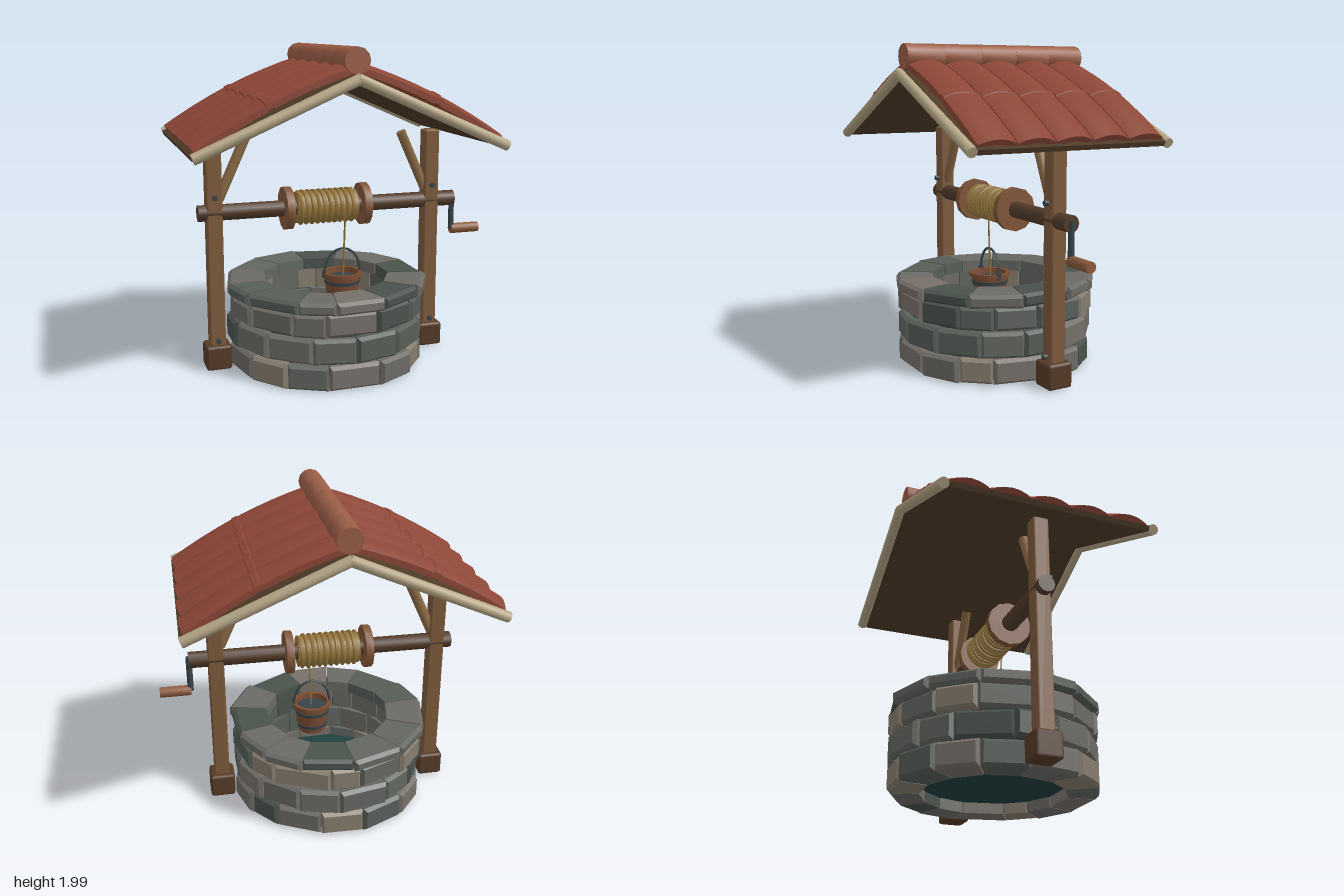
import * as THREE from 'three';
import { toCreasedNormals } from 'three/addons/utils/BufferGeometryUtils.js';
import { RoundedBoxGeometry } from 'three/addons/geometries/RoundedBoxGeometry.js';

const mat = (color, flatShading = false) => {
  const m = new THREE.MeshStandardMaterial({ color });
  m.flatShading = flatShading;
  return m;
};
const M = {
  post: mat(0x7d5a3c), base: mat(0x553a27), axle: mat(0x513a29), flange: mat(0x805538),
  brace: mat(0x8a6a45), trim: mat(0xb3a484), tile: mat(0x8c4637), ridge: mat(0x9a5d46),
  board: mat(0x4e3a27), rope: mat(0x92743a), metal: mat(0x36454a), bucket: mat(0x7c4c32),
  grip: mat(0x8a5a3c), water: mat(0x22403f), mortar: mat(0x3c3e3a),
};
M.bucket.side = THREE.DoubleSide;
const stoneMats = [0x6c6a65, 0x565e57, 0x857c6e, 0x4a524c, 0x77706a, 0x626660].map(c => mat(c, true));

let seed = 7;
const rand = () => (seed = (seed * 16807) % 2147483647) / 2147483647;
const V = (x, y, z) => new THREE.Vector3(x, y, z);

function add(parent, name, geo, material, x = 0, y = 0, z = 0) {
  const mesh = new THREE.Mesh(geo, material);
  mesh.name = name;
  mesh.position.set(x, y, z);
  parent.add(mesh);
  return mesh;
}

function group(parent, name) {
  const g = new THREE.Group();
  g.name = name;
  parent.add(g);
  return g;
}

// Straight round bar between two points
function bar(parent, name, a, b, r, material, sides = 10) {
  const geo = toCreasedNormals(new THREE.CylinderGeometry(r, r, a.distanceTo(b), sides), 0.9);
  const mesh = add(parent, name, geo, material);
  mesh.position.copy(a).add(b).multiplyScalar(0.5);
  mesh.quaternion.setFromUnitVectors(V(0, 1, 0), b.clone().sub(a).normalize());
  return mesh;
}

// Solid through equal-length loops, capped by pairing points from both loop ends
function loft(loops, crease) {
  const n = loops[0].length, idx = [];
  const quad = (a, b, c, d) => idx.push(a, b, c, a, c, d);
  for (let k = 0; k < loops.length - 1; k++)
    for (let j = 0; j < n; j++) {
      const j2 = (j + 1) % n;
      quad(k * n + j, k * n + j2, (k + 1) * n + j2, (k + 1) * n + j);
    }
  const e = (loops.length - 1) * n;
  for (let i = 0; i < n / 2 - 1; i++) {
    quad(n - 1 - i, n - 2 - i, i + 1, i);
    quad(e + i, e + i + 1, e + n - 2 - i, e + n - 1 - i);
  }
  const geo = new THREE.BufferGeometry().setFromPoints(loops.flat());
  geo.setIndex(idx);
  return toCreasedNormals(geo, crease);
}

// Wedge-shaped stone with a chamfered outer face
function stone(ri, ro, a0, a1, y0, y1, b) {
  const loop = (r, s) => {
    const t = s / r;
    return [[a0 + t, y0 + s], [a0 + t, y1 - s], [a1 - t, y1 - s], [a1 - t, y0 + s]]
      .map(([a, y]) => V(r * Math.cos(a), y, r * Math.sin(a)));
  };
  return loft([loop(ri, 0.004), loop(ro - b, 0.002), loop(ro, b)], 0.1);
}

function buildWall(root) {
  const wall = group(root, 'stoneWall');
  const courses = [
    { y0: 0.01, y1: 0.17, ri: 0.43, ro: 0.615, n: 14 },
    { y0: 0.17, y1: 0.335, ri: 0.43, ro: 0.62, n: 14 },
    { y0: 0.335, y1: 0.485, ri: 0.43, ro: 0.615, n: 14 },
    { y0: 0.475, y1: 0.56, ri: 0.4, ro: 0.635, n: 13 },
  ];
  courses.forEach(({ y0, y1, ri, ro, n }, row) => {
    const step = Math.PI * 2 / n;
    const cuts = Array.from({ length: n }, (_, i) => (i + row * 0.5 + (rand() - 0.5) * 0.35) * step);
    cuts.push(cuts[0] + Math.PI * 2);
    for (let i = 0; i < n; i++) {
      const geo = stone(ri, ro + (rand() - 0.5) * 0.025, cuts[i], cuts[i + 1], y0, y1 - rand() * 0.008, 0.02);
      add(wall, 'stone', geo, stoneMats[Math.floor(rand() * stoneMats.length)]);
    }
  });
  const ring = [[0.46, 0.03], [0.56, 0.03], [0.56, 0.5], [0.46, 0.5], [0.46, 0.03]];
  add(wall, 'mortar', new THREE.LatheGeometry(ring.map(p => new THREE.Vector2(...p)), 28), M.mortar);
  add(root, 'water', new THREE.CylinderGeometry(0.435, 0.435, 0.02, 28), M.water, 0, 0.09, 0);
}

function buildFrame(root) {
  for (const s of [-1, 1]) {
    const x = s * 0.708;
    const side = group(root, s < 0 ? 'rightSupport' : 'leftSupport');
    add(side, 'post', new RoundedBoxGeometry(0.098, 1.44, 0.098, 1, 0.012), M.post, x, 0.74, 0);
    add(side, 'postBase', new RoundedBoxGeometry(0.16, 0.155, 0.16, 1, 0.018), M.base, x, 0.0925, 0);
    bar(side, 'brace', V(s * 0.675, 1.08, 0), V(s * 0.505, 1.45, 0), 0.032, M.brace, 8);
    for (const y of [0.2, 1.1]) bar(side, 'bolt', V(x, y, 0.03), V(x, y, 0.075), 0.016, M.metal, 8);
  }
}

function buildWinch(root) {
  const winch = group(root, 'winch');
  winch.position.y = 1;
  bar(winch, 'axle', V(-0.805, 0, 0), V(0.875, 0, 0), 0.051, M.axle, 12);
  for (const x of [-0.25, 0.25]) bar(winch, 'spoolFlange', V(x - 0.024, 0, 0), V(x + 0.024, 0, 0), 0.136, M.flange, 12);
  // Wound rope: a core with a helix over it
  bar(winch, 'ropeCore', V(-0.195, 0, 0), V(0.195, 0, 0), 0.099, M.rope, 16);
  const turns = 10, pts = [];
  for (let i = 0; i <= turns * 12; i++) {
    const a = i / 12 * Math.PI * 2;
    pts.push(V(-0.185 + 0.37 * i / (turns * 12), 0.1 * Math.cos(a), 0.1 * Math.sin(a)));
  }
  add(winch, 'ropeCoil', new THREE.TubeGeometry(new THREE.CatmullRomCurve3(pts), turns * 24, 0.012, 6), M.rope);
  // Crank
  bar(winch, 'crankArm', V(0.873, 0.02, 0), V(0.873, -0.21, 0), 0.019, M.metal, 8);
  bar(winch, 'crankGrip', V(0.87, -0.21, 0), V(1.065, -0.21, 0), 0.033, M.grip, 10);
}

function buildBucket(root) {
  const bucket = group(root, 'bucket');
  bucket.position.set(0.087, 0, 0.08);
  // Tapered, hollow body with a lip
  const profile = [[0, 0.385], [0.09, 0.385], [0.115, 0.56], [0.128, 0.562], [0.128, 0.585],
    [0.105, 0.585], [0.1, 0.53]].map(p => new THREE.Vector2(...p));
  add(bucket, 'bucketBody', toCreasedNormals(new THREE.LatheGeometry(profile, 14), 0.6), M.bucket);
  add(bucket, 'bucketFill', new THREE.CylinderGeometry(0.102, 0.1, 0.01, 14), M.metal, 0, 0.545, 0);
  for (const [y, r] of [[0.43, 0.1], [0.525, 0.113]])
    add(bucket, 'bucketBand', new THREE.CylinderGeometry(r + 0.003, r, 0.022, 14), M.metal, 0, y, 0);
  // Bail handle
  const arc = Array.from({ length: 9 }, (_, i) => {
    const a = Math.PI * i / 8;
    return V(0.118 * Math.cos(a), 0.585 + 0.15 * Math.sin(a), 0);
  });
  add(bucket, 'bucketHandle', new THREE.TubeGeometry(new THREE.CatmullRomCurve3(arc), 16, 0.008, 5), M.metal);
  for (const x of [-0.118, 0.118]) add(bucket, 'handleEar', new THREE.BoxGeometry(0.014, 0.05, 0.03), M.metal, x, 0.575, 0);
  bar(bucket, 'hangingRope', V(0.006, 0.56, 0), V(0.015, 0.98, 0.018), 0.006, M.rope, 6);
}

// Long arched tile that follows the sagging slope, with an overlap lip halfway
function tileGeometry(width) {
  const slope = new THREE.QuadraticBezierCurve(
    new THREE.Vector2(0.04, 1.915), new THREE.Vector2(0.5, 1.775), new THREE.Vector2(0.925, 1.487));
  const loops = [0, 0.12, 0.25, 0.37, 0.5, 0.505, 0.54, 0.545, 0.65, 0.78, 0.9, 1].map(u => {
    const p = slope.getPoint(u), t = slope.getTangent(u);
    const lip = u >= 0.505 && u <= 0.54 ? 0.006 : 0;
    const row = depth => [-1, -0.75, -0.4, 0, 0.4, 0.75, 1].map(v => {
      const h = lip - 0.032 * v * v - depth;
      return V(p.x - t.y * h, p.y + t.x * h, v * width / 2);
    });
    return [...row(0), ...row(0.035).reverse()];
  });
  return loft(loops, 0.5);
}

function buildRoof(root) {
  const roof = group(root, 'roof');
  const tile = tileGeometry(0.236);
  for (const turn of [0, Math.PI]) {
    const half = group(roof, turn ? 'rightSlope' : 'leftSlope');
    half.rotation.y = turn;
    for (let i = -2; i <= 2; i++) add(half, 'tile', tile, M.tile, 0, 0, i * 0.243);
    // Boarding under the tiles
    const section = [[0, 1.845], [0, 1.81], [0.915, 1.41], [0.928, 1.438]].map(p => new THREE.Vector2(...p));
    const boards = new THREE.ExtrudeGeometry(new THREE.Shape(section), { depth: 1.22, bevelEnabled: false });
    add(half, 'roofBoards', boards, M.board, 0, 0, -0.61);
    for (const z of [-0.64, 0.64]) bar(half, 'gableTrim', V(-0.008, 1.827, z), V(0.918, 1.425, z), 0.032, M.trim, 10);
  }
  // Ridge made of five caps
  for (let i = -2; i <= 2; i++) {
    const z = i * 0.245;
    bar(roof, 'ridgeCap', V(0, 1.924, z - 0.122), V(0, 1.924, z + 0.122), 0.076, M.ridge, 12);
  }
}

export function createModel() {
  const model = new THREE.Group();
  model.name = 'waterWell';
  const root = group(model, 'well');
  root.position.x = -0.065;
  buildWall(root);
  buildFrame(root);
  buildWinch(root);
  buildBucket(root);
  buildRoof(root);
  return model;
}
